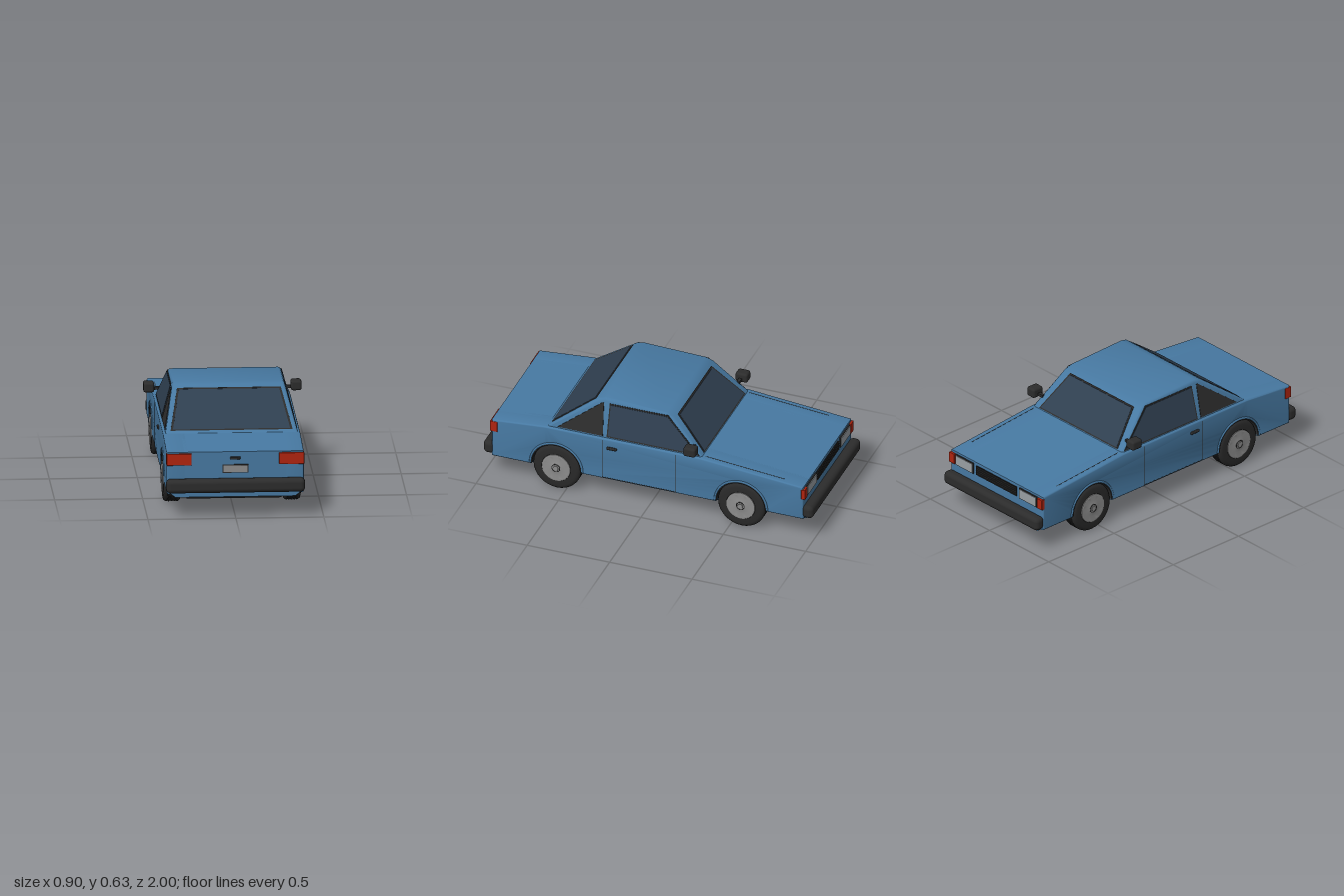
import * as THREE from 'three';
import { toCreasedNormals } from 'three/addons/utils/BufferGeometryUtils.js';
import { RoundedBoxGeometry } from 'three/addons/geometries/RoundedBoxGeometry.js';

const mat = (name, color) => Object.assign(new THREE.MeshStandardMaterial({ color }), { name });

export function createModel() {
  const car = new THREE.Group();
  car.name = 'car';
  const paint = mat('blue paint', 0x4779a2);
  const trim = mat('dark trim', 0x2c2c2c);
  const rubber = mat('tyre rubber', 0x292929);
  const under = mat('underbody black', 0x171717);
  const glass = mat('tinted glass', 0x2f3f50);
  const red = mat('red lens', 0xb0240f);
  const metal = mat('grey metal', 0x8c8c8c);
  const lamp = mat('lamp glass', 0x9aa0a4);

  const add = (name, geo, material, x = 0, y = 0, z = 0, parent = car) => {
    const m = new THREE.Mesh(geo, material);
    m.name = name;
    m.position.set(x, y, z);
    parent.add(m);
    return m;
  };
  const box = (name, material, x, y, z, w, h, d, r = 0) =>
    add(name, r ? new RoundedBoxGeometry(w, h, d, 3, r) : new THREE.BoxGeometry(w, h, d), material, x, y, z);
  const poly = pts => new THREE.Shape(pts.map(p => new THREE.Vector2(...p)));
  const warp = (geo, rule) => {
    const p = geo.attributes.position, v = new THREE.Vector3();
    for (let i = 0; i < p.count; i++) {
      rule(v.fromBufferAttribute(p, i));
      p.setXYZ(i, v.x, v.y, v.z);
    }
    geo.computeVertexNormals();
    return geo;
  };
  // Side profile given as (z, y), extruded across x from x0 to x1
  const acrossX = (shape, x0, x1, b = 0) => {
    const depth = x1 - x0 - 2 * b;
    const g = new THREE.ExtrudeGeometry(shape, {
      depth, bevelEnabled: b > 0, bevelSize: b, bevelThickness: b, bevelOffset: -b, bevelSegments: 3, curveSegments: 24,
    });
    return g.translate(0, 0, -depth / 2).rotateY(-Math.PI / 2).translate((x0 + x1) / 2, 0, 0);
  };

  const AXLES = [0.555, -0.565], AY = 0.145, ARCH = 0.152;
  const top = [[0.947, 0.377], [0.62, 0.405], [-0.32, 0.405], [-0.942, 0.348]];

  // Body: centre block plus side panels with wheel arches cut out
  add('bodyCore', acrossX(poly([[-0.942, 0.115], [0.947, 0.115], ...top]), -0.29, 0.29), paint);
  const side = new THREE.Shape();
  side.moveTo(-0.942, 0.135);
  for (const z of [...AXLES].reverse()) {
    side.lineTo(z - ARCH, 0.135);
    side.absarc(z, AY, ARCH, Math.PI, 0, true);
    side.lineTo(z + ARCH, 0.135);
  }
  side.lineTo(0.947, 0.135);
  top.forEach(p => side.lineTo(...p));
  for (const [x0, x1] of [[0.26, 0.39], [-0.39, -0.26]])
    add('sidePanel', toCreasedNormals(acrossX(side, x0, x1, 0.01), 0.6), paint);

  // Tapered sills between and beyond the wheels
  for (const [z0, z1] of [[-0.942, -0.717], [-0.413, 0.403], [0.707, 0.947]]) {
    const g = new THREE.BoxGeometry(0.77, 0.035, z1 - z0);
    add('sill', warp(g, v => { if (v.y < 0) v.x *= 0.885; }), paint, 0, 0.1315, (z0 + z1) / 2);
  }
  box('underbody', under, 0, 0.1, 0.005, 0.54, 0.04, 1.67);

  // Cabin, narrowing towards the roof
  const narrow = y => 1 - 0.16 * (y - 0.4) / 0.225;
  const cabin = poly([[0.64, 0.385], [0.325, 0.621], [0.285, 0.629], [-0.085, 0.615], [-0.13, 0.597], [-0.342, 0.385]]);
  add('cabin', toCreasedNormals(
    warp(acrossX(cabin, -0.377, 0.377, 0.016), v => { v.x *= narrow(v.y); }), 0.6), paint);

  // Windows: thin plates leaned onto the cabin faces
  const sideWindow = (name, pts, material, t) => {
    for (const s of [1, -1])
      add(name, warp(acrossX(poly(pts), -t, t), v => { v.x += s * 0.377 * narrow(v.y); }), material);
  };
  sideWindow('quarterWindow', [[0.552, 0.412], [0.3, 0.602], [0.29, 0.602], [0.278, 0.412]], trim, 0.003);
  sideWindow('doorWindowFrame', [[0.255, 0.41], [0.255, 0.604], [-0.1, 0.604], [-0.308, 0.41]], trim, 0.002);
  sideWindow('doorWindow', [[0.247, 0.418], [0.247, 0.597], [-0.098, 0.597], [-0.292, 0.418]], glass, 0.004);
  const endWindow = (name, y0, y1, w0, w1, zAt, material, t) => {
    const g = new THREE.ExtrudeGeometry(poly([[-w0, y0], [w0, y0], [w1, y1], [-w1, y1]]), { depth: 2 * t, bevelEnabled: false });
    add(name, warp(g, v => { v.z += zAt(v.y) - t; }), material);
  };
  const rearZ = y => 0.64 - (y - 0.385) * 0.315 / 0.236;
  const frontZ = y => -0.342 + (y - 0.385);
  endWindow('rearWindowFrame', 0.418, 0.606, 0.347, 0.295, rearZ, trim, 0.003);
  endWindow('rearWindow', 0.424, 0.6, 0.333, 0.285, rearZ, glass, 0.0048);
  endWindow('windscreenFrame', 0.409, 0.591, 0.33, 0.268, frontZ, trim, 0.003);
  endWindow('windscreen', 0.415, 0.585, 0.32, 0.26, frontZ, glass, 0.0048);

  // Bumpers
  for (const z of [0.967, -0.967]) box('bumper', trim, 0, 0.185, z, 0.79, 0.08, 0.066, 0.026);

  // Wheel profiles as (radius, distance along axle)
  const lathe = (pts, n = 32) => toCreasedNormals(
    new THREE.LatheGeometry(pts.map(p => new THREE.Vector2(...p)), n).rotateZ(-Math.PI / 2), 0.7);
  const tread = [];
  for (const c of [-0.024, -0.008, 0.008, 0.024])
    tread.push([0.144, c - 0.004], [0.14, c - 0.002], [0.14, c + 0.002], [0.144, c + 0.004]);
  const tyre = lathe([[0, -0.05], [0.12, -0.05], [0.134, -0.046], [0.142, -0.036], ...tread,
    [0.142, 0.036], [0.134, 0.046], [0.12, 0.05], [0.088, 0.05], [0.082, 0.044]]);
  const rim = lathe([[0.086, 0.04], [0.086, 0.053], [0.08, 0.055], [0.074, 0.048], [0.05, 0.05], [0.03, 0.055], [0, 0.056]]
    .map(([r, a], i) => [r, i === 3 ? 0.0551 : a + i * 0.0003]));
  const hubRing = new THREE.TorusGeometry(0.024, 0.003, 6, 20).rotateY(Math.PI / 2);
  const hub = new THREE.CylinderGeometry(0.016, 0.019, 0.008, 6).rotateZ(-Math.PI / 2);

  for (const z of AXLES) {
    // Dark space inside the wheel arches
    const half = new THREE.Shape();
    half.absarc(z, AY, ARCH - 0.001, 0, Math.PI, false);
    add('wheelWell', acrossX(half, -0.293, 0.293), under);
    for (const s of [1, -1]) {
      const ring = new THREE.Shape();
      ring.absarc(z, AY, ARCH + 0.002, 0, Math.PI, false);
      ring.absarc(z, AY, ARCH - 0.005, Math.PI, 0, true);
      add('archLiner', acrossX(ring, s > 0 ? 0.28 : -0.391, s > 0 ? 0.391 : -0.28), trim);
      add('archLip', new THREE.TorusGeometry(0.158, 0.007, 6, 28, Math.PI).rotateY(Math.PI / 2), paint, s * 0.389, AY, z);
      const wheel = new THREE.Group();
      wheel.name = 'wheel';
      wheel.position.set(s * 0.341, 0.144, z);
      if (s < 0) wheel.rotation.y = Math.PI;
      car.add(wheel);
      add('tyre', tyre, rubber, 0, 0, 0, wheel);
      add('rim', rim, metal, 0, 0, 0, wheel);
      add('hubRing', hubRing, trim, 0.0555, 0, 0, wheel);
      add('hub', hub, metal, 0.057, 0, 0, wheel);
    }
  }

  // Parts mirrored left and right
  const slope = Math.atan2(0.057, 0.622);
  for (const s of [1, -1]) {
    box('tailLight', red, s * 0.3205, 0.335, 0.934, 0.143, 0.068, 0.046, 0.004);
    box('headlightFrame', trim, s * 0.268, 0.302, -0.943, 0.15, 0.066, 0.014);
    box('headlight', lamp, s * 0.268, 0.302, -0.947, 0.138, 0.056, 0.014);
    box('cornerLight', red, s * 0.37, 0.302, -0.943, 0.044, 0.064, 0.024, 0.003);
    box('doorHandle', trim, s * 0.393, 0.348, 0.217, 0.016, 0.016, 0.06, 0.005);
    box('mirror', trim, s * 0.419, 0.465, -0.272, 0.062, 0.058, 0.074, 0.014);
    box('mirrorArm', trim, s * 0.374, 0.456, -0.268, 0.05, 0.016, 0.018);
    box('doorSeamRear', trim, s * 0.39, 0.27, 0.276, 0.002, 0.25, 0.004);
    box('doorSeamBottom', trim, s * 0.39, 0.145, 0.053, 0.002, 0.003, 0.446);
    box('doorSeamFront', trim, s * 0.39, 0.27, -0.17, 0.002, 0.25, 0.004);
    box('bonnetSeam', trim, s * 0.355, 0.3815, -0.576, 0.003, 0.002, 0.48).rotation.x = -slope;
  }

  // Tail: plate and boot handle
  box('plateFrame', trim, 0, 0.279, 0.949, 0.148, 0.048, 0.008);
  box('numberPlate', metal, 0, 0.279, 0.952, 0.136, 0.038, 0.008);
  box('bootHandle', trim, 0, 0.34, 0.95, 0.058, 0.015, 0.014, 0.004);

  // Nose: grille with slats
  box('grille', under, 0, 0.3, -0.943, 0.34, 0.058, 0.01);
  for (let i = 0; i < 5; i++) box('grilleSlat', trim, 0, 0.276 + i * 0.012, -0.948, 0.34, 0.004, 0.006);

  return car;
}
